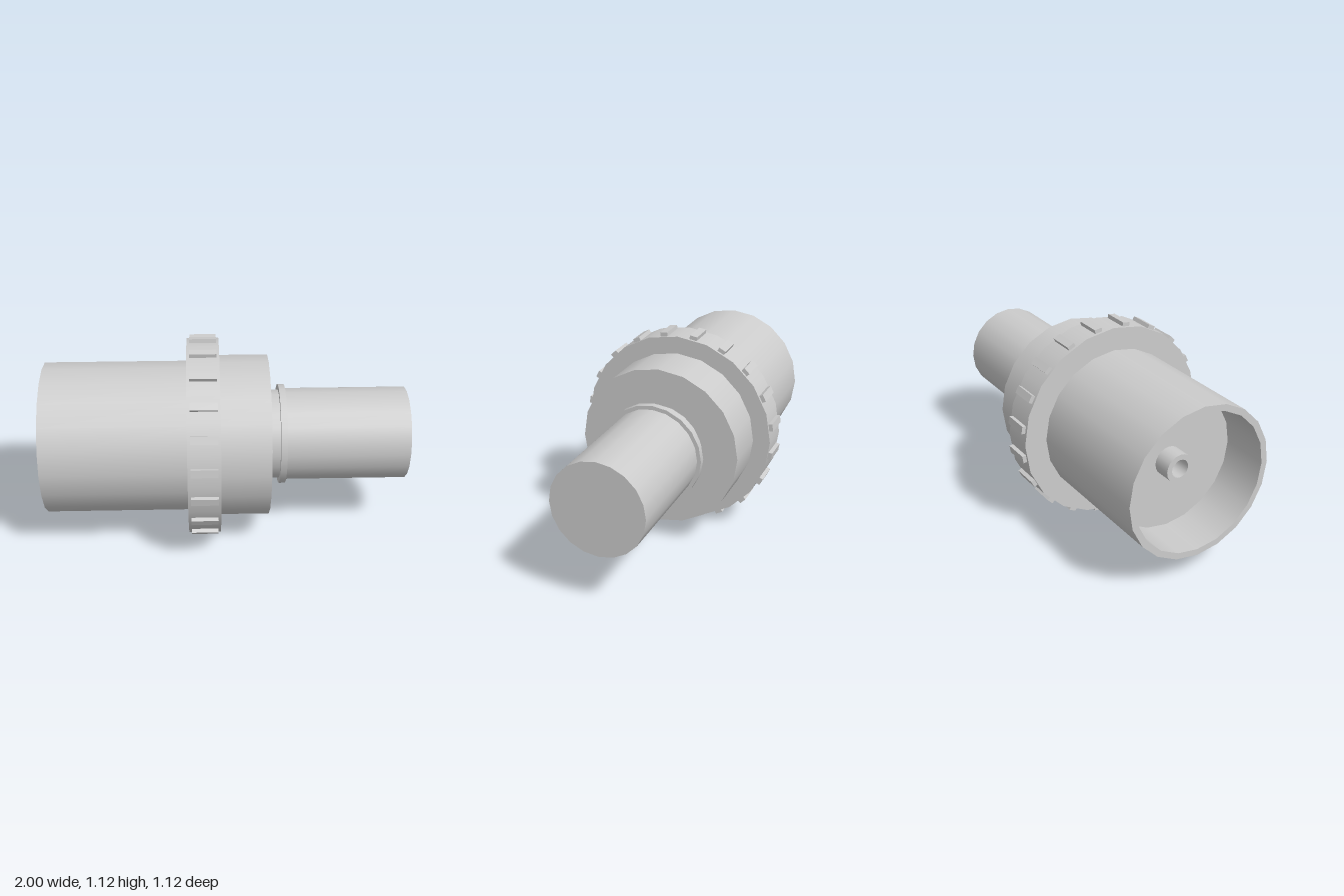
import * as THREE from 'three';
import { mergeGeometries } from 'three/addons/utils/BufferGeometryUtils.js';

const SIDES = 20;
const AXIS_Y = 0.558;

// Turned part along x from [x, radius] points; every profile edge stays sharp.
function turned(points) {
  const rings = [];
  for (let i = 0; i + 1 < points.length; i++) {
    const pair = [points[i], points[i + 1]].map(([x, r]) => new THREE.Vector2(r, x));
    rings.push(new THREE.LatheGeometry(pair, SIDES));
  }
  return mergeGeometries(rings).rotateZ(-Math.PI / 2);
}

const solid = (x0, x1, r) => turned([[x0, 0], [x0, r], [x1, r], [x1, 0]]);

export function createModel() {
  const metal = new THREE.MeshStandardMaterial({ color: 0xcccccc });
  metal.name = 'light grey metal';

  const model = new THREE.Group();
  model.name = 'coaxialConnector';
  const body = new THREE.Group();
  body.name = 'connectorBody';
  body.position.y = AXIS_Y;
  model.add(body);

  const add = (name, geometry, parent = body) => {
    const mesh = new THREE.Mesh(geometry, metal);
    mesh.name = name;
    parent.add(mesh);
    return mesh;
  };

  // Large barrel with an open socket end
  add('socketBarrel', turned([
    [-0.73, 0], [-0.73, 0.385], [-1, 0.385], [-1, 0.42], [-0.2, 0.42],
  ]));

  // Hollow contact in the middle of the socket
  add('centreContact', turned([
    [-0.74, 0], [-0.74, 0.05], [-0.83, 0.05], [-0.83, 0.08], [-0.73, 0.08],
  ]));

  // Coupling nut with one grip rib on each facet
  add('couplingNut', solid(-0.215, -0.04, 0.547));
  const ribs = new THREE.Group();
  ribs.name = 'gripRibs';
  body.add(ribs);
  const ribGeometry = new THREE.BoxGeometry(0.145, 0.042, 0.042).translate(-0.127, 0.541, 0);
  for (let i = 0; i < SIDES; i++) {
    add('gripRib', ribGeometry, ribs).rotation.x = ((i + 0.5) / SIDES) * Math.PI * 2;
  }

  // Collar, neck, flange and plug
  add('collar', solid(-0.05, 0.23, 0.45));
  add('neck', solid(0.22, 0.3, 0.25));
  add('flange', solid(0.29, 0.325, 0.28));
  add('plug', solid(0.315, 1, 0.258));

  return model;
}
